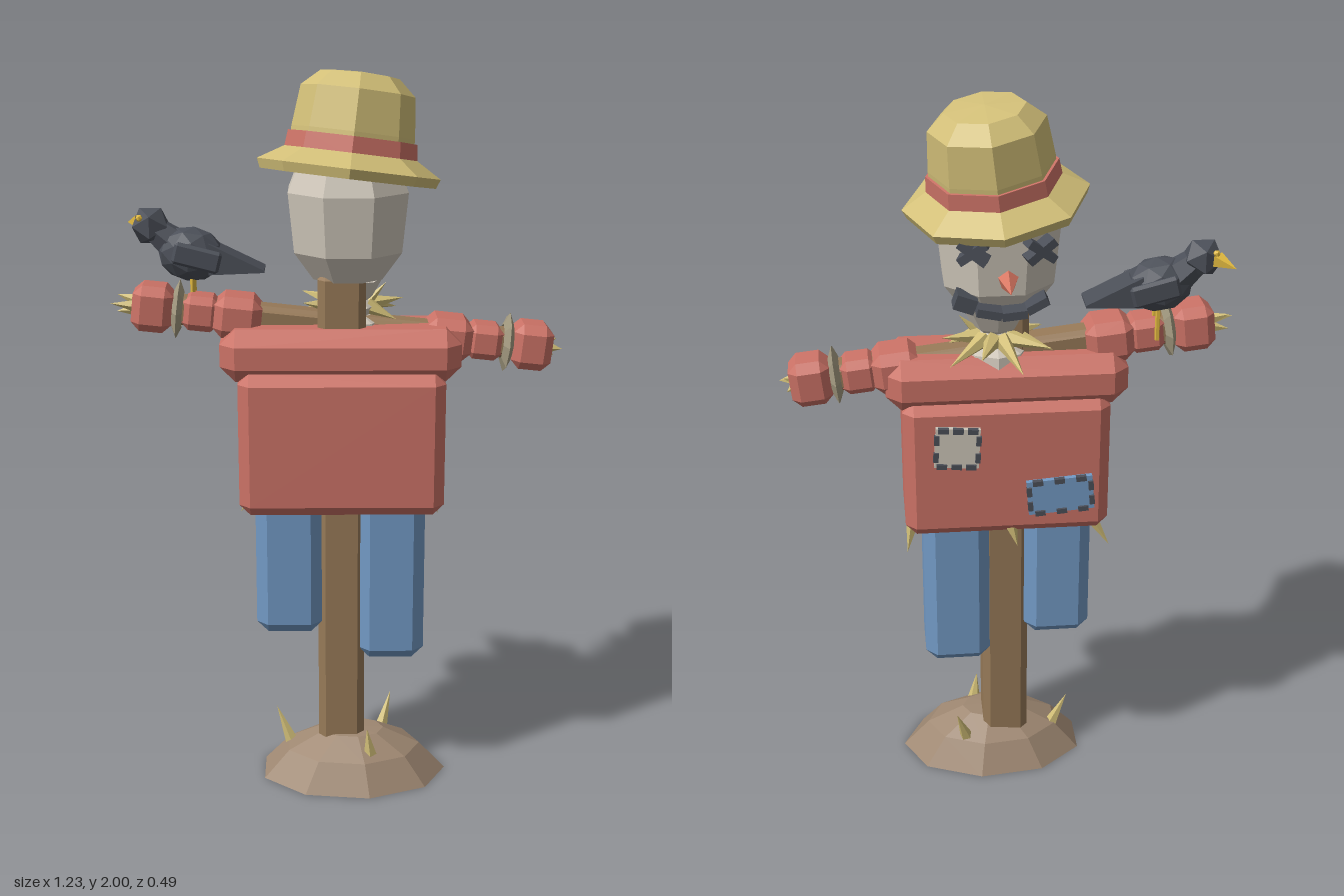
import * as THREE from 'three';
import { ConvexGeometry } from 'three/addons/geometries/ConvexGeometry.js';

const V = (x, y, z) => new THREE.Vector3(x, y, z);
const mat = (color) => new THREE.MeshStandardMaterial({ color, flatShading: true, side: THREE.DoubleSide });

export function createModel() {
  const model = new THREE.Group();
  const red = mat(0xcb7266), blue = mat(0x7299c4), wood = mat(0x977a58), earth = mat(0x9f8872);
  const straw = mat(0xd2bf78), dark = mat(0x4b4f58), sack = mat(0xcfc7ba), rope = mat(0xa39a80);
  const coral = mat(0xd67560), yellow = mat(0xe0b840);

  const add = (parent, name, geo, material, pos = [0, 0, 0], rot = [0, 0, 0]) => {
    const m = new THREE.Mesh(geo, material);
    m.name = name;
    m.position.set(...pos);
    m.rotation.set(...rot);
    parent.add(m);
    return m;
  };
  const group = (name, pos, rot = [0, 0, 0], parent = model) => {
    const g = new THREE.Group();
    g.name = name;
    g.position.set(...pos);
    g.rotation.set(...rot);
    parent.add(g);
    return g;
  };
  // Box with every edge cut by c
  const chamferBox = (w, h, d, c) => {
    const pts = [];
    for (const x of [-1, 1]) for (const y of [-1, 1]) for (const z of [-1, 1]) {
      pts.push(V(x * w / 2, y * (h / 2 - c), z * (d / 2 - c)));
      pts.push(V(x * (w / 2 - c), y * h / 2, z * (d / 2 - c)));
      pts.push(V(x * (w / 2 - c), y * (h / 2 - c), z * d / 2));
    }
    return new ConvexGeometry(pts);
  };
  const lathe = (pts, n) => new THREE.LatheGeometry(pts.map((p) => new THREE.Vector2(...p)), n);
  // Cone running from point a to tip b
  const spike = (parent, name, a, b, r, material = straw, sides = 5) => {
    const from = V(...a), dir = V(...b).sub(from);
    const m = add(parent, name, new THREE.ConeGeometry(r, dir.length(), sides), material);
    m.position.copy(from).addScaledVector(dir, 0.5);
    m.quaternion.setFromUnitVectors(V(0, 1, 0), dir.normalize());
  };

  // Mound with tufts
  const mound = add(model, 'mound', lathe([[0, 0], [0.27, 0], [0.195, 0.08], [0.09, 0.13], [0, 0.135]], 9), earth, [0.04, 0, 0.04], [0, Math.PI / 2, 0]);
  mound.scale.set(0.69, 1, 1);
  spike(model, 'moundStraw', [-0.135, 0.07, 0.01], [-0.18, 0.18, 0.0], 0.02);
  spike(model, 'moundStraw', [0.09, 0.09, 0.13], [0.08, 0.175, 0.14], 0.02);
  spike(model, 'moundStraw', [0.125, 0.08, -0.05], [0.155, 0.185, -0.085], 0.02);

  // Post
  add(model, 'post', chamferBox(0.13, 1.44, 0.135, 0.02), wood, [0.008, 0.76, 0.018]);

  // Trouser legs
  add(model, 'shortLeg', chamferBox(0.185, 0.44, 0.19, 0.032), blue, [-0.138, 0.67, 0.01]);
  add(model, 'longLeg', chamferBox(0.185, 0.52, 0.19, 0.032), blue, [0.147, 0.63, 0.01]);

  // Shirt
  add(model, 'shirtBody', chamferBox(0.56, 0.40, 0.27, 0.03), red, [0.008, 1.015, 0.01]);
  add(model, 'shirtShoulders', chamferBox(0.65, 0.145, 0.25, 0.042), red, [0.005, 1.258, 0.005]);
  for (const [a, b] of [
    [[0.265, 0.85, -0.06], [0.285, 0.75, -0.08]],
    [[0.0, 0.84, -0.09], [-0.02, 0.77, -0.11]],
    [[-0.22, 0.85, -0.07], [-0.28, 0.75, -0.09]],
  ]) spike(model, 'hemStraw', a, b, 0.022);

  // Patches with stitches round their edges
  const patch = (name, w, h, material, pos, tilt) => {
    const g = group(name, pos, [0, 0, tilt]);
    add(g, 'cloth', new THREE.BoxGeometry(w, h, 0.02), material);
    for (const s of [-1, 1]) {
      for (const t of [-0.33, 0, 0.33]) {
        add(g, 'stitch', new THREE.BoxGeometry(0.028, 0.014, 0.014), dark, [t * w, s * h * 0.46, -0.01]);
      }
      for (const t of [-0.22, 0.22]) {
        add(g, 'stitch', new THREE.BoxGeometry(0.014, 0.026, 0.014), dark, [s * w * 0.47, t * h, -0.01]);
      }
    }
  };
  patch('greyPatch', 0.12, 0.115, sack, [0.145, 1.095, -0.13], 0.06);
  patch('bluePatch', 0.18, 0.1, blue, [-0.135, 0.94, -0.13], -0.08);

  // Tilted crossbar carrying both sleeves
  const arms = group('arms', [0, 1.32, -0.008], [0, 0.015, -0.108]);
  add(arms, 'crossbar', chamferBox(1.08, 0.075, 0.08, 0.015), wood);
  for (const s of [-1, 1]) {
    const o = s > 0 ? 0.025 : 0;
    const sleeve = group(s > 0 ? 'leftSleeve' : 'rightSleeve', [s * o, 0, 0], [0, 0, 0], arms);
    add(sleeve, 'upperSleeve', chamferBox(0.13, 0.115, 0.145, 0.026), red, [s * 0.275, 0, 0]);
    add(sleeve, 'lowerSleeve', chamferBox(0.1, 0.095, 0.11, 0.02), red, [s * 0.375, 0, 0]);
    add(sleeve, 'cuff', chamferBox(0.11, 0.125, 0.125, 0.024), red, [s * 0.505, 0, 0]);
    add(sleeve, 'ropeTie', lathe([[0.05, -0.014], [0.083, 0], [0.05, 0.014]], 8), rope, [s * 0.438, 0, 0], [0, 0, Math.PI / 2]);
    const tip = s > 0 ? 0.59 : 0.62;
    for (const [y, z] of [[0.0, 0.015], [0.02, -0.02], [-0.025, -0.01]]) {
      spike(sleeve, 'handStraw', [s * 0.545, y * 0.5, z * 0.5], [s * (tip - Math.abs(y) * 0.7), y, z], 0.02);
    }
  }

  // Neck and ragged collar
  add(model, 'neck', lathe([[0.09, 1.3], [0.085, 1.335], [0.055, 1.35], [0.07, 1.375], [0.05, 1.39], [0.062, 1.4], [0.09, 1.45]], 8), sack, [0.03, 0, -0.015]);
  for (let i = 0; i < 8; i++) {
    const a = Math.PI * (0.93 + i * 0.163), c = Math.cos(a), s = Math.sin(a);
    const r = 0.13 + 0.085 * Math.max(0, -s);
    spike(model, 'collarStraw', [0.03 + c * 0.05, 1.375, -0.02 + s * 0.05], [0.03 + c * r, i % 2 ? 1.34 : 1.385, -0.02 + s * r], 0.024);
  }
  spike(model, 'collarStraw', [0.06, 1.36, -0.02], [0.13, 1.435, -0.03], 0.02);

  // Sack head
  const head = group('head', [0.025, 0, -0.005]);
  add(head, 'sackHead', lathe([[0, 1.44], [0.1, 1.455], [0.155, 1.53], [0.172, 1.69], [0.13, 1.79], [0, 1.81]], 8), sack, [0, 0, 0], [0, Math.PI / 8, 0]);
  for (const s of [-1, 1]) {
    const eye = group('crossEye', [s * 0.083 - 0.01, 1.66, -0.165], [0, -s * 0.25, 0], head);
    for (const t of [-1, 1]) add(eye, 'eyeBar', new THREE.BoxGeometry(0.085, 0.022, 0.05), dark, [0, 0, 0], [0, 0, t * 0.62]);
  }
  spike(head, 'nose', [-0.015, 1.575, -0.14], [-0.015, 1.565, -0.228], 0.03, coral);
  for (const [x, y, w, h, t] of [[0.095, 1.515, 0.055, 0.04, 0.35], [0.035, 1.492, 0.065, 0.022, 0.2], [-0.03, 1.487, 0.065, 0.022, -0.1], [-0.09, 1.505, 0.06, 0.022, -0.5]]) {
    add(head, 'mouthStitch', new THREE.BoxGeometry(w, h, 0.06), dark, [x, y, -0.155 + Math.abs(x) * 0.25], [0, 0, t]);
  }

  // Tilted straw hat
  const hat = group('hat', [0.027, 1.74, 0], [-0.13, 0, -0.12]);
  add(hat, 'brim', lathe([[0.15, 0.015], [0.235, -0.02], [0.245, 0.005], [0.17, 0.05], [0.15, 0.05]], 8), straw);
  add(hat, 'hatBand', lathe([[0.15, 0.03], [0.178, 0.035], [0.172, 0.088], [0.15, 0.088]], 8), red);
  add(hat, 'crown', lathe([[0.166, 0.03], [0.164, 0.1], [0.152, 0.208], [0.105, 0.25], [0, 0.258]], 8), straw);

  // Crow perched on the arm
  const crow = group('crow', [-0.4, 1.51, -0.045]);
  const body = add(crow, 'crowBody', new THREE.IcosahedronGeometry(0.075, 1), dark, [0, 0, 0], [0, 0, -0.15]);
  body.scale.set(1.2, 1, 0.92);
  add(crow, 'crowHead', new THREE.IcosahedronGeometry(0.056, 0), dark, [-0.108, 0.075, -0.015]);
  add(crow, 'crowNeck', new THREE.CylinderGeometry(0.035, 0.05, 0.08, 6), dark, [-0.07, 0.045, -0.01], [0, 0, 0.9]);
  spike(crow, 'beak', [-0.14, 0.08, -0.05], [-0.18, 0.07, -0.1], 0.022, yellow, 4);
  for (const z of [-0.06, 0.02]) add(crow, 'crowEye', new THREE.IcosahedronGeometry(0.01, 0), yellow, [-0.135, 0.1, z]);
  add(crow, 'tail', new ConvexGeometry([-0.047, 0.047].flatMap((z) => [V(0.05, 0.035, z), V(0.05, -0.05, z), V(0.2, -0.038, z), V(0.2, -0.044, z)])), dark);
  for (const s of [-1, 1]) {
    add(crow, 'wing', chamferBox(0.13, 0.06, 0.02, 0.008), dark, [0.02, 0.0, s * 0.063], [0, 0, -0.25]);
    add(crow, 'crowLeg', new THREE.CylinderGeometry(0.007, 0.007, 0.1, 5), yellow, [0.005, -0.1, s * 0.025]);
  }
  return model;
}
